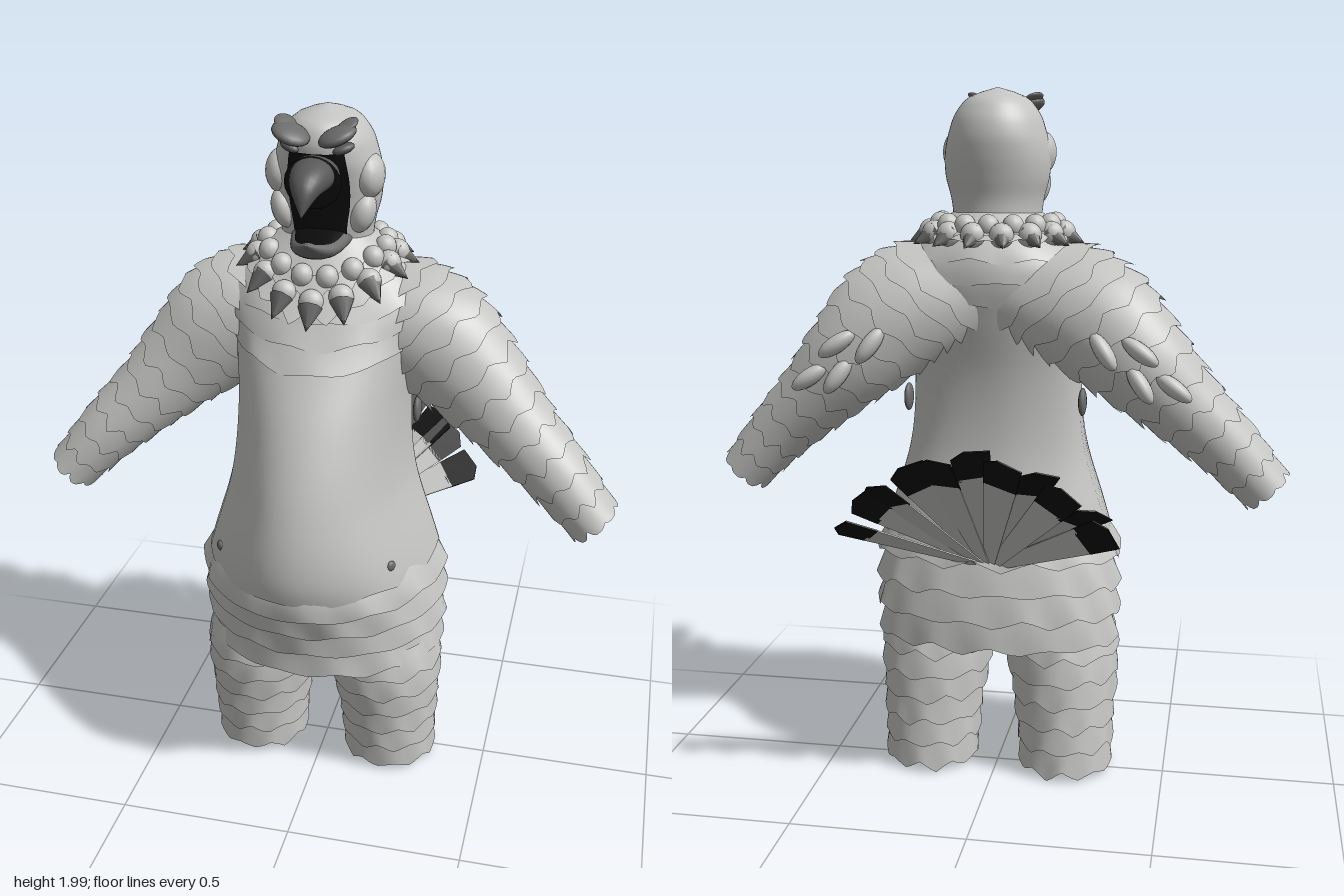
import * as THREE from 'three';

const mat = (name, color) => new THREE.MeshStandardMaterial({ name, color, side: THREE.DoubleSide });
const plumage = mat('pale grey plumage', 0xc4c4c2);
const slate = mat('slate grey', 0x6c6c6c);
const horn = mat('dark beak grey', 0x585858);
const black = mat('black', 0x0b0b0b);

// Smooth lookup in rows of [key, ...values], keys ascending
function table(rows) {
  const n = rows[0].length - 1;
  const it = new THREE.CubicInterpolant(
    new Float32Array(rows.map(r => r[0])), new Float32Array(rows.flatMap(r => r.slice(1))), n);
  return t => Array.from(it.evaluate(t));
}

// Upright form: rows of [y, half width, front z, back z]
function upright(rows) {
  const f = table(rows);
  return (y, a, s = 1) => {
    const [rx, zf, zb] = f(y), sn = Math.sin(a);
    return [rx * s * Math.cos(a), y, s * sn * (sn > 0 ? zf : -zb)];
  };
}

const tri = x => Math.abs((((x % 1) + 1) % 1) * 2 - 1) * 2 - 1;

// Skin over a form P(t, angle, scale), with an optional toothed and flared hem
function skin(name, material, P, t0, t1, o = {}) {
  const { s0 = 1, s1 = 1, teeth = 0, amp = 0, phase = 0, a0 = 0, a1 = Math.PI * 2, segs = 54, rows = 3 } = o;
  const full = a1 - a0 > 6.28, cols = full ? segs : segs + 1, pos = [], idx = [];
  for (let j = 0; j <= rows; j++) {
    for (let i = 0; i < cols; i++) {
      const k = j / rows, a = a0 + (a1 - a0) * i / segs;
      const w = teeth ? tri(i / segs * teeth + phase) * (1 + 0.5 * Math.sin(3 * a + phase * 9)) : 0;
      pos.push(...P(t0 + (t1 - t0) * k + w * amp * k, a, s0 + (s1 - s0) * k + w * 0.014 * k));
    }
  }
  for (let j = 0; j < rows; j++) {
    for (let i = 0; i < segs; i++) {
      const n = (i + 1) % cols, a = j * cols + i, b = j * cols + n;
      idx.push(a, b, a + cols, b, b + cols, a + cols);
    }
  }
  const g = new THREE.BufferGeometry();
  g.setAttribute('position', new THREE.Float32BufferAttribute(pos, 3));
  g.setIndex(idx);
  g.computeVertexNormals();
  const m = new THREE.Mesh(g, material);
  m.name = name;
  return m;
}

// Overlapping feather layers from t0 to t1
function tiers(name, P, t0, t1, count, o) {
  const g = new THREE.Group(), step = (t1 - t0) / count;
  g.name = name;
  for (let i = 0; i < count; i++) {
    g.add(skin(name + 'Layer', plumage, P, t0 + step * (i - 0.25), t0 + step * (i + 1),
      { s0: 0.95, s1: 1.04, phase: i * 0.43, ...o }));
  }
  return g;
}

function blob(name, material, p, scale, rot = [0, 0, 0]) {
  const m = new THREE.Mesh(new THREE.SphereGeometry(1, 16, 12), material);
  m.name = name;
  m.position.set(...p);
  m.scale.set(...scale);
  m.rotation.set(...rot);
  return m;
}

const torso = upright([
  [0.35, 0.335, 0.28, -0.175], [0.5, 0.345, 0.315, -0.195], [0.62, 0.345, 0.37, -0.195],
  [0.72, 0.338, 0.43, -0.185], [0.8, 0.315, 0.45, -0.165], [1.0, 0.255, 0.42, -0.125],
  [1.2, 0.24, 0.34, -0.13], [1.4, 0.26, 0.22, -0.175], [1.5, 0.275, 0.165, -0.195],
  [1.57, 0.22, 0.125, -0.18], [1.62, 0.15, 0.1, -0.14], [1.66, 0.11, 0.08, -0.1]]);
const skull = upright([
  [1.55, 0.14, 0.1, -0.12], [1.65, 0.125, 0.09, -0.115], [1.7, 0.13, 0.1, -0.115],
  [1.76, 0.145, 0.105, -0.128], [1.82, 0.147, 0.12, -0.14], [1.88, 0.135, 0.14, -0.143],
  [1.94, 0.11, 0.138, -0.122], [1.98, 0.066, 0.095, -0.078], [2.0, 0.001, 0.001, -0.001]]);

// Collar slopes outward and dips to a bib at the front
const collar = (t, a, s = 1) => {
  const sn = Math.sin(a), f = Math.max(0, sn);
  return [s * (0.115 + 0.085 * t) * Math.cos(a), 1.67 - t * (0.075 + 0.11 * f * f),
    s * sn * (sn > 0 ? 0.09 + 0.115 * t : 0.11 + 0.075 * t)];
};

// Beak halves: rows of [t, y, z, half width, half height, tilt]
function beak(rows) {
  const f = table(rows);
  return (t, a, s = 1) => {
    const [y, z, rx, ry, tilt] = f(t), v = ry * s * Math.sin(a);
    return [rx * s * Math.cos(a), y + v * Math.cos(tilt), z + v * Math.sin(tilt)];
  };
}

function makeHead() {
  const g = new THREE.Group();
  g.name = 'head';
  g.add(skin('skull', plumage, skull, 2, 1.55, { rows: 36 }));
  g.add(skin('mouth', black, skull, 1.9, 1.675, { s0: 1.03, s1: 1.03, a0: 1.0, a1: 2.14, segs: 16, rows: 10 }));
  const upper = beak([[0, 1.85, 0.1, 0.062, 0.05, 0], [0.4, 1.848, 0.19, 0.055, 0.045, 0.3],
    [0.75, 1.825, 0.25, 0.034, 0.033, 0.9], [1, 1.775, 0.285, 0.002, 0.002, 1.3]]);
  const lower = beak([[0, 1.665, 0.06, 0.085, 0.036, 0], [0.5, 1.658, 0.16, 0.06, 0.028, -0.3],
    [1, 1.69, 0.238, 0.002, 0.002, -0.8]]);
  g.add(skin('upperBeak', horn, upper, 0, 1, { rows: 14, segs: 28 }));
  g.add(skin('lowerBeak', slate, lower, 0, 1, { rows: 12, segs: 28 }));
  g.add(skin('tongueBed', black, lower, 0.05, 0.85, { s0: 1.04, s1: 1.04, a0: 0.65, a1: 2.49, rows: 10, segs: 16 }));
  g.add(blob('beakSurround', black, [0, 1.832, 0.167], [0.075, 0.068, 0.005]));
  for (const x of [-1, 1]) {
    g.add(blob('brow', slate, [x * 0.06, 1.95, 0.15], [0.052, 0.02, 0.05], [0, x * 0.5, x * 0.4]));
    g.add(blob('browTuft', slate, [x * 0.08, 1.972, 0.125], [0.03, 0.01, 0.035], [0.3, 0, x * 0.4]));
    g.add(blob('eye', horn, [x * 0.07, 1.912, 0.122], [0.03, 0.013, 0.02], [0, x * 0.5, x * 0.3]));
    g.add(blob('cheek', plumage, [x * 0.118, 1.825, 0.03], [0.042, 0.06, 0.06]));
    g.add(blob('jowl', plumage, [x * 0.105, 1.73, 0.05], [0.035, 0.055, 0.045], [0, 0, -x * 0.3]));
  }
  return g;
}

function makeCollar() {
  const g = new THREE.Group();
  g.name = 'collar';
  for (let i = 0; i < 3; i++) {
    g.add(skin('collarLayer', plumage, collar, i * 0.25, 0.5 + i * 0.25,
      { s0: 1.0, s1: 1.08, teeth: 14, amp: 0.07, phase: i * 0.5, segs: 84 }));
  }
  // Downy tufts, then dark pointed feathers tucked under the hem
  const up = new THREE.Vector3(0, 1, 0), n = 15;
  for (let i = 0; i < n; i++) {
    const a = (i + 0.75) / n * Math.PI * 2, b = a + Math.PI / n;
    g.add(blob('collarTuft', plumage, collar(0.5, b, 1.03), [0.03, 0.032, 0.03]));
    g.add(blob('collarTuft', plumage, collar(0.8, a, 1.03), [0.034, 0.034, 0.03]));
    const p = new THREE.Vector3(...collar(0.9, a, 1.06)), q = new THREE.Vector3(...collar(1.1, a, 1.12));
    const m = new THREE.Mesh(new THREE.ConeGeometry(0.034, 0.07, 8), slate);
    m.name = 'collarTip';
    m.position.copy(p.clone().lerp(q, 0.5));
    m.quaternion.setFromUnitVectors(up, q.sub(p).normalize());
    g.add(m);
  }
  return g;
}

function makeArm() {
  const g = new THREE.Group();
  g.name = 'arm';
  const f = table([[-0.2, 0.06, 1.465, -0.04, 0.185, 0.15], [0, 0.17, 1.43, -0.04, 0.185, 0.155],
    [0.2, 0.29, 1.365, -0.045, 0.17, 0.15], [0.4, 0.41, 1.255, -0.045, 0.14, 0.135],
    [0.6, 0.53, 1.135, -0.02, 0.11, 0.115], [0.8, 0.655, 1.015, 0.01, 0.09, 0.1],
    [1, 0.775, 0.885, 0.03, 0.072, 0.088]]);
  const P = (t, a, s = 1) => {
    const [x, y, z, r, rz] = f(t), u = r * s * Math.cos(a);
    return [x + 0.73 * u, y + 0.68 * u, z + rz * s * Math.sin(a)];
  };
  g.add(tiers('sleeve', P, -0.15, 1, 13, { teeth: 9, amp: 0.017, s0: 0.97, s1: 1.09 }));
  g.add(skin('cuffLining', plumage, P, 0.95, 0.95, { s0: 0.95, s1: 0 }));
  // Loose plumes on the back of the upper arm
  for (let i = 0; i < 4; i++) {
    g.add(blob('armPlume', plumage, P(0.28 + i * 0.08, -1.7 + (i % 2) * 0.4, 1.13),
      [0.024, 0.06, 0.03], [0.3, 0, 0.6 + (i % 2) * 0.35]));
  }
  // Dark patch below the armpit
  g.add(blob('underarmPatch', slate, [0.25, 1.14, -0.05], [0.012, 0.04, 0.035]));
  return g;
}

function makeLeg() {
  const g = new THREE.Group();
  g.name = 'leg';
  const f = table([[0.02, 0.205, 0.132, 0.015, 0.14], [0.2, 0.2, 0.143, 0.03, 0.16],
    [0.4, 0.187, 0.162, 0.048, 0.185], [0.55, 0.175, 0.15, 0.05, 0.17]]);
  const P = (y, a, s = 1) => {
    const [cx, rx, cz, rz] = f(y);
    return [cx + rx * s * Math.cos(a), y, cz + rz * s * Math.sin(a)];
  };
  g.add(tiers('trouser', P, 0.46, 0.03, 6, { teeth: 9, amp: 0.013, s0: 0.97, s1: 1.06 }));
  g.add(skin('trouserLining', plumage, P, 0.1, 0.1, { s0: 0.98, s1: 0 }));
  g.add(skin('ankleRing', plumage, P, 0.1, 0.045, { s0: 0.75, s1: 0.72 }));
  return g;
}

function makeTail() {
  const g = new THREE.Group();
  g.name = 'tailFan';
  // Flat strip between two distances along a feather, widening outward
  const strip = (name, m, L, d0, d1, w0, w1, notch) => {
    const s = new THREE.Shape();
    s.moveTo(-w0, L * d0);
    s.lineTo(w0, L * d0);
    s.lineTo(w1, L * d1 - notch);
    s.lineTo(w1 * 0.3, L * d1);
    s.lineTo(-w1, L * d1 - notch * 0.4);
    const mesh = new THREE.Mesh(new THREE.ExtrudeGeometry(s, { depth: 0.004, bevelEnabled: false }), m);
    mesh.name = name;
    return mesh;
  };
  const count = 11;
  for (let i = 0; i < count; i++) {
    const k = i / (count - 1) * 2 - 1, L = 0.455 - 0.035 * k * k, feather = new THREE.Group();
    feather.name = 'tailFeather';
    feather.add(strip('featherBlade', plumage, L, 0, 0.77, 0.016, 0.046, 0));
    feather.add(strip('featherTip', black, L, 0.75, 1, 0.046, 0.053, 0.025));
    // Outer feathers cup backward
    feather.position.set(k * 0.03, 0, (i % 2) * 0.014);
    feather.rotation.set(-0.16 * Math.abs(k), 0.25 * (i % 2 ? 1 : -1), -k * 0.98, 'ZYX');
    g.add(feather);
  }
  g.position.set(0, 0.69, -0.185);
  g.rotation.x = -0.6;
  return g;
}

export function createModel() {
  const model = new THREE.Group();
  model.name = 'birdCostume';
  model.add(skin('torso', plumage, torso, 1.66, 0.74, { rows: 30, teeth: 7, amp: 0.015 }));
  model.add(tiers('hips', torso, 0.77, 0.43, 4, { teeth: 13, amp: 0.012, s1: 1.05, segs: 78 }));
  model.add(skin('crotch', plumage, torso, 0.45, 0.44, { s0: 0.99, s1: 0 }));
  // Neckline feather layers dip at the chest
  const yoke = (y, a, s) => torso(y - 0.08 * Math.max(0, Math.sin(a)), a, s);
  model.add(tiers('yoke', yoke, 1.6, 1.42, 3, { teeth: 9, amp: 0.007, s0: 1.0, s1: 1.03 }));
  model.add(makeHead(), makeCollar(), makeTail());
  for (const side of [1, -1]) {
    const half = new THREE.Group();
    half.name = side > 0 ? 'leftLimbs' : 'rightLimbs';
    half.add(makeArm(), makeLeg());
    half.add(blob('hipSpot', slate, torso(0.81, 0.67, 1), [0.008, 0.015, 0.015], [0, -0.67, 0]));
    half.scale.x = side;
    model.add(half);
  }
  return model;
}
